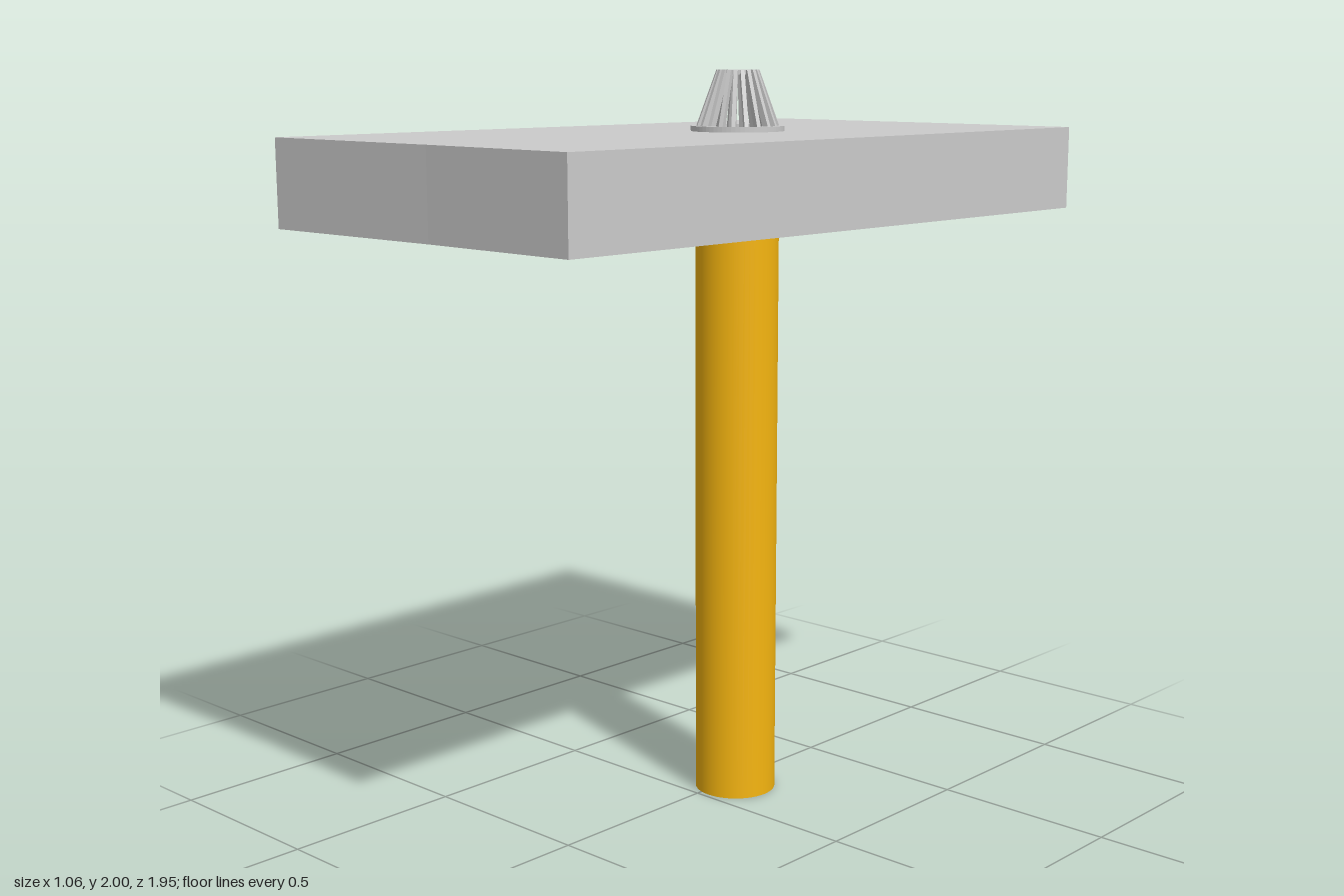
import * as THREE from 'three';

const AXIS_X = 0.03, AXIS_Z = -0.125;

export function createModel() {
  const model = new THREE.Group();
  const grey = new THREE.MeshStandardMaterial({ color: 0xcccccc });
  const yellow = new THREE.MeshStandardMaterial({ color: 0xf5b510 });

  const add = (parent, name, geometry, material) => {
    const mesh = new THREE.Mesh(geometry, material);
    mesh.name = name;
    parent.add(mesh);
    return mesh;
  };

  // Roof slab: outline in x/z with slightly bent short ends, extruded upwards
  const outline = new THREE.Shape([
    [-0.53, -0.955], [0.05, -0.955], [0.53, -0.97],
    [0.53, 0.96], [0.05, 0.975], [-0.53, 0.975],
  ].map(([x, y]) => new THREE.Vector2(x, y)));
  const slab = new THREE.ExtrudeGeometry(outline, { depth: 0.225, bevelEnabled: false });
  slab.rotateX(-Math.PI / 2);
  slab.translate(0, 1.615, 0);
  add(model, 'roofSlab', slab, grey);

  // Drain pipe, running up through the slab
  const pipe = add(model, 'drainPipe', new THREE.CylinderGeometry(0.112, 0.112, 1.845, 48), yellow);
  pipe.position.set(AXIS_X, 1.845 / 2, AXIS_Z);

  // Leaf guard standing on the drain
  const guard = new THREE.Group();
  guard.name = 'leafGuard';
  guard.position.set(AXIS_X, 0, AXIS_Z);
  model.add(guard);

  // Flat rings: the base flange and the cap with its centre hole
  const ring = (name, inner, outer, y, height) => {
    const shape = new THREE.Shape().absarc(0, 0, outer, 0, Math.PI * 2, false);
    shape.holes.push(new THREE.Path().absarc(0, 0, inner, 0, Math.PI * 2, true));
    const geometry = new THREE.ExtrudeGeometry(shape, { depth: height, bevelEnabled: false, curveSegments: 32 });
    geometry.rotateX(-Math.PI / 2);
    add(guard, name, geometry, grey).position.y = y;
  };
  ring('baseFlange', 0.108, 0.125, 1.838, 0.016);
  ring('capRing', 0.022, 0.052, 1.988, 0.012);

  // Sloping radial ribs between flange and cap
  const ribProfile = new THREE.Shape([
    [0.095, 1.845], [0.114, 1.845], [0.057, 2], [0.04, 2],
  ].map(([r, y]) => new THREE.Vector2(r, y)));
  const ribGeometry = new THREE.ExtrudeGeometry(ribProfile, { depth: 0.011, bevelEnabled: false });
  ribGeometry.translate(0, 0, -0.0055);
  const RIBS = 20;
  for (let i = 0; i < RIBS; i++) {
    add(guard, 'rib', ribGeometry, grey).rotation.y = (i / RIBS) * Math.PI * 2;
  }

  return model;
}
